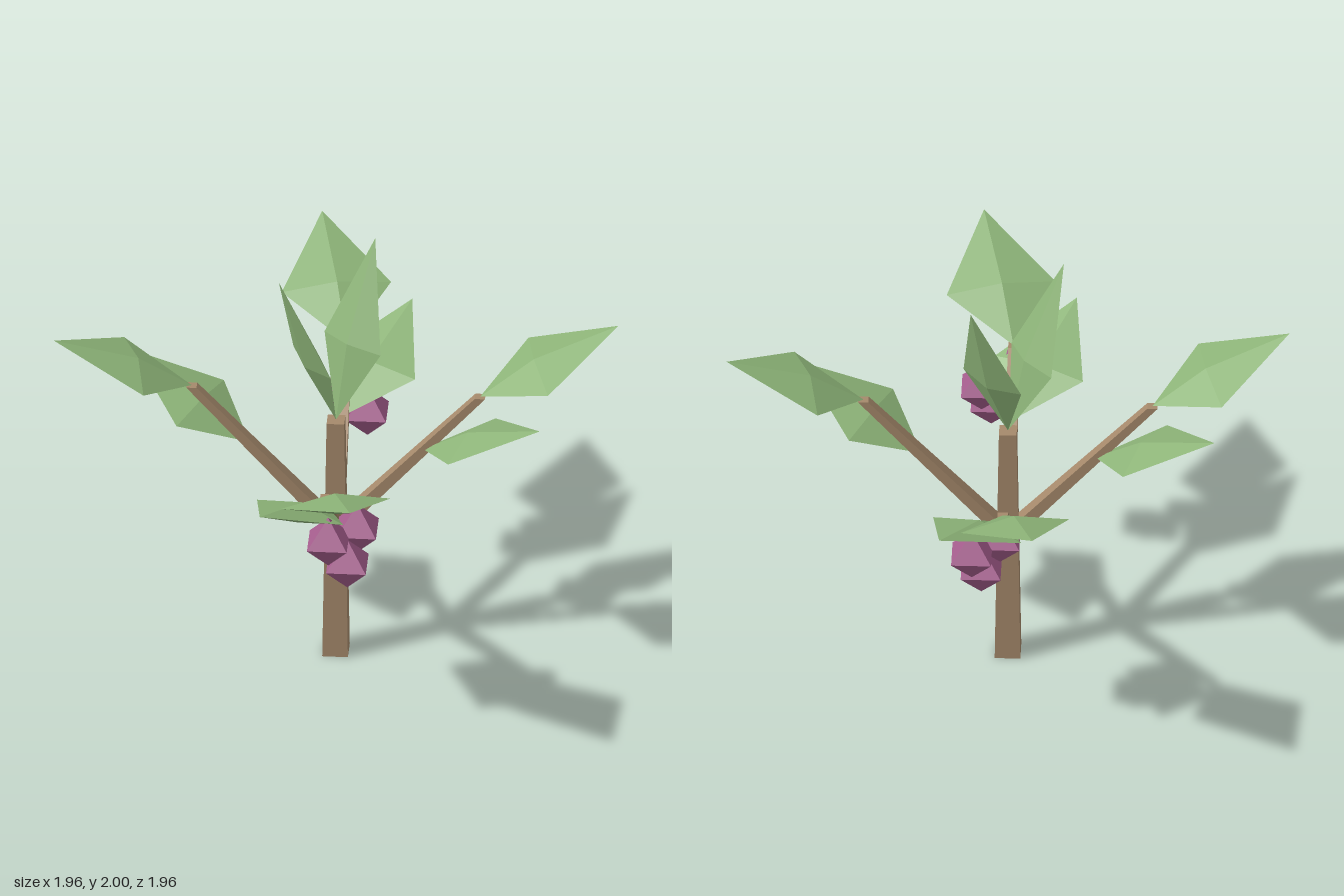
import * as THREE from 'three';

const flat = (name, color) => {
  const m = new THREE.MeshStandardMaterial({ color, flatShading: true });
  m.name = name;
  return m;
};

export function createModel() {
  const bark = flat('bark brown', 0xa5896b);
  const green = flat('leaf green', 0x8db478);
  const purple = flat('fruit purple', 0xa65e8e);
  const V = (x, y, z) => new THREE.Vector3(x, y, z);

  const part = (parent, name, geometry, material) => {
    const mesh = new THREE.Mesh(geometry, material);
    mesh.name = name;
    parent.add(mesh);
    return mesh;
  };

  // Leaf: an octahedron stretched from base to tip, widest at 42% of its length
  const leafGeometry = (base, tip, side, thick = 0.046) => {
    const g = new THREE.OctahedronGeometry(1);
    const mid = base.clone().lerp(tip, 0.42);
    const normal = side.clone().cross(tip.clone().sub(base)).setLength(thick);
    const pos = g.attributes.position;
    for (let i = 0; i < pos.count; i++) {
      const y = pos.getY(i);
      const p = mid.clone().lerp(y > 0 ? tip : base, Math.abs(y));
      p.addScaledVector(side, pos.getX(i)).addScaledVector(normal, pos.getZ(i));
      pos.setXYZ(i, p.x, p.y, p.z);
    }
    g.computeVertexNormals();
    return g;
  };

  // Branch: four-sided taper sheared outward, so both ends stay level
  const start = 0.64, reach = 0.45;
  const branchGeometry = (height) => {
    const g = new THREE.CylinderGeometry(0.032, 0.052, height, 4).translate(0, height / 2, 0);
    const k = reach / height;
    g.applyMatrix4(new THREE.Matrix4().set(1, k, 0, 0, 0, 1, 0, start, 0, k, 1, 0, 0, 0, 0, 1));
    g.computeVertexNormals();
    return g;
  };

  const model = new THREE.Group();
  model.name = 'fruitPlant';

  // Trunk
  part(model, 'trunk', new THREE.CylinderGeometry(0.055, 0.08, 1.2, 4).translate(0, 0.6, 0), bark);

  // Crown leaves, mirrored
  for (const s of [1, -1]) {
    part(model, 'crownLeaf', leafGeometry(V(0, 1.2, 0), V(0.28 * s, 2, -0.06), V(0.027 * s, 0, 0.157), 0.042), green);
  }

  // Four limbs at quarter turns, alternately tall and short
  for (let i = 0; i < 4; i++) {
    const limb = new THREE.Group();
    limb.name = 'limb';
    limb.rotation.y = i * Math.PI / 2;
    model.add(limb);
    const height = i % 2 ? 0.56 : 0.71;
    const top = start + height, low = start + 0.6 * height;
    part(limb, 'branch', branchGeometry(height), bark);
    part(limb, 'tipLeaf', leafGeometry(V(reach, top, reach), V(0.98, top + 0.3, 0.765), V(0.125, 0, -0.21)), green);
    part(limb, 'lowerLeaf', leafGeometry(V(0.27, low, 0.27), V(0.46, low + 0.285, 0.84), V(0.203, 0, -0.076)), green);
  }

  // Fruit clusters hanging from the two short branches
  for (const [x, z] of [[-0.4, 0.51], [0.485, -0.38]]) {
    const cluster = new THREE.Group();
    cluster.name = 'fruitCluster';
    cluster.position.set(x, 1.01, z);
    model.add(cluster);
    for (const [dx, dy, dz] of [[-0.085, 0, 0], [0.085, 0, 0], [0, -0.135, 0.03]]) {
      part(cluster, 'fruit', new THREE.OctahedronGeometry(0.124), purple).position.set(dx, dy, dz);
    }
  }
  return model;
}
